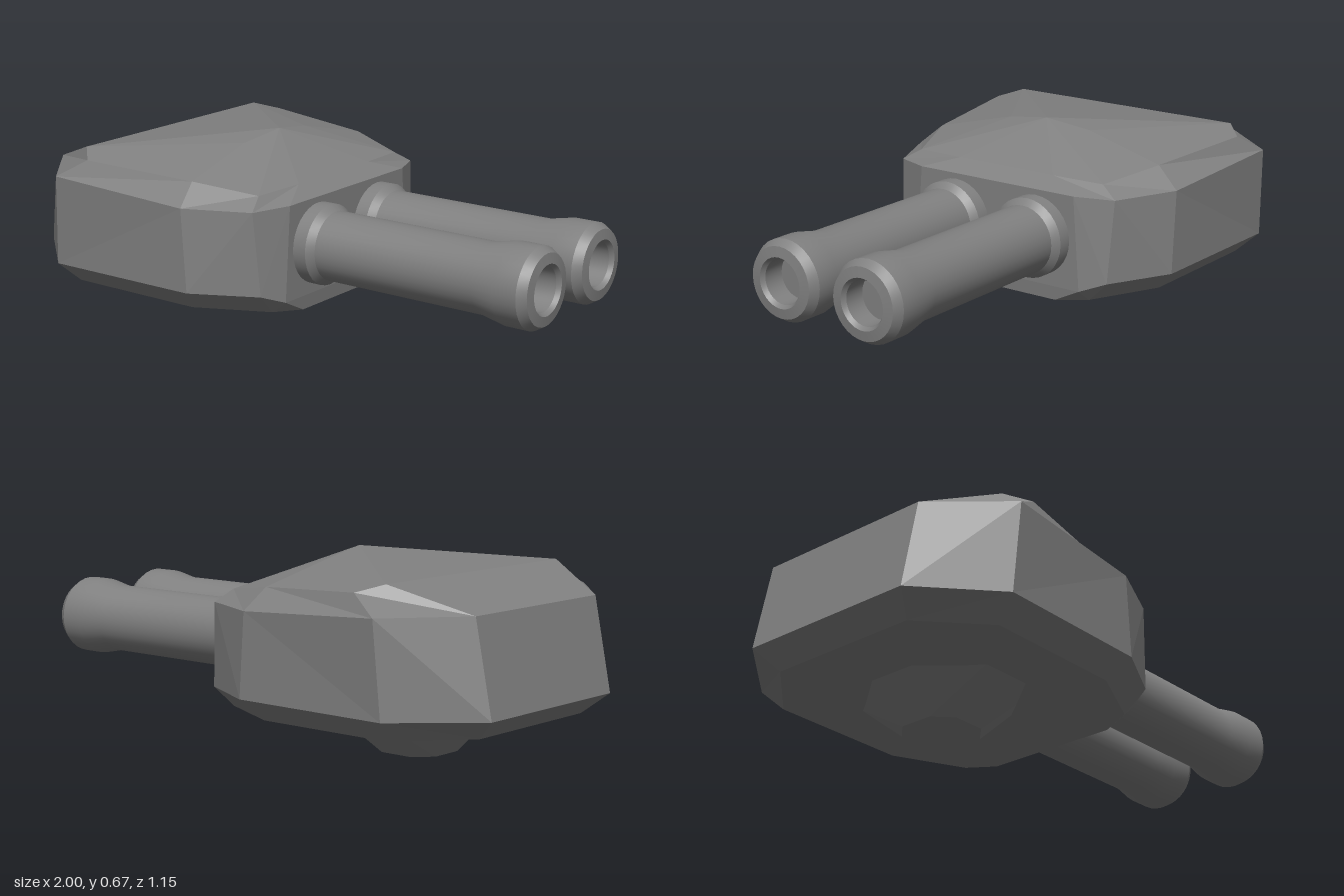
import * as THREE from 'three';
import { toCreasedNormals } from 'three/addons/utils/BufferGeometryUtils.js';

const steel = new THREE.MeshStandardMaterial({ color: 0x808080 });
steel.name = 'steel grey';

// Skins half-rings (back to front on the +z side, listed bottom to top) and mirrors them over z = 0.
function facetedHull(halfRings) {
  const rings = halfRings.map((ring) => {
    const first = ring[0], last = ring[ring.length - 1];
    return [[first[0], first[1], 0], ...ring, [last[0], last[1], 0]];
  });
  const positions = [];
  const same = (p, q) => p.every((v, i) => v === q[i]);
  const triangle = (p, q, r) => {
    if (same(p, q) || same(q, r) || same(r, p)) return;
    positions.push(...p, ...q, ...r);
    for (const [x, y, z] of [p, r, q]) positions.push(x, y, -z);
  };
  for (let i = 0; i < rings.length - 1; i++) {
    const low = rings[i], high = rings[i + 1];
    for (let k = 0; k < low.length - 1; k++) {
      triangle(low[k], low[k + 1], high[k + 1]);
      triangle(low[k], high[k + 1], high[k]);
    }
  }
  const geometry = new THREE.BufferGeometry();
  geometry.setAttribute('position', new THREE.Float32BufferAttribute(positions, 3));
  geometry.computeVertexNormals();
  return geometry;
}

function part(name, geometry) {
  const mesh = new THREE.Mesh(geometry, steel);
  mesh.name = name;
  return mesh;
}

export function createModel() {
  const model = new THREE.Group();
  model.name = 'twinGunTurret';

  // Armoured housing: belly, lower edge, shoulder, roof edge, roof ridge
  const peak = [-0.2, 0.67, 0];
  const ridge = [-0.22, 0.645, 0.17];
  const belly = Array(5).fill([-0.46, 0.12, 0]);
  model.add(part('housing', facetedHull([
    belly,
    [[-0.92, 0.14, 0.28], [-0.72, 0.135, 0.48], [-0.2, 0.135, 0.48], [0.05, 0.135, 0.36], [0.095, 0.125, 0.25]],
    [[-1, 0.21, 0.33], [-0.75, 0.21, 0.56], [-0.16, 0.21, 0.555], [0.065, 0.21, 0.44], [0.1, 0.175, 0.35]],
    [[-0.935, 0.53, 0.33], [-0.73, 0.53, 0.575], [-0.18, 0.5, 0.555], [0.045, 0.5, 0.455], [0.1, 0.505, 0.325]],
    [[-0.69, 0.62, 0.46], [-0.62, 0.595, 0.53], [-0.2, 0.572, 0.47], [0.02, 0.54, 0.39], [0.04, 0.545, 0.2]],
    [peak, ridge, ridge, ridge, peak],
  ])));

  // Tapered mounting foot under the housing
  model.add(part('mountingFoot', facetedHull([
    Array(5).fill([-0.46, 0, 0]),
    [[-0.58, 0, 0.06], [-0.52, 0, 0.12], [-0.4, 0, 0.12], [-0.36, 0, 0.08], [-0.34, 0, 0.06]],
    [[-0.7, 0.135, 0.09], [-0.55, 0.135, 0.285], [-0.36, 0.135, 0.285], [-0.25, 0.135, 0.15], [-0.2, 0.135, 0.09]],
  ])));

  // Gun barrel: collar, tube, flared muzzle and recessed bore
  const profile = [
    [0, 0.06], [0.14, 0.06], [0.14, 0.15], [0.12, 0.175], [0.12, 0.79], [0.138, 0.88],
    [0.138, 0.965], [0.12, 0.995], [0.085, 1], [0.075, 0.985], [0.075, 0.91], [0, 0.91],
  ].map(([r, x]) => new THREE.Vector2(r, x));
  const barrelGeometry = toCreasedNormals(new THREE.LatheGeometry(profile, 32), 0.3);
  for (const side of [1, -1]) {
    const barrel = part(side > 0 ? 'frontBarrel' : 'backBarrel', barrelGeometry);
    barrel.rotation.z = -Math.PI / 2;
    barrel.position.set(0, 0.345, side * 0.17);
    model.add(barrel);
  }
  return model;
}
